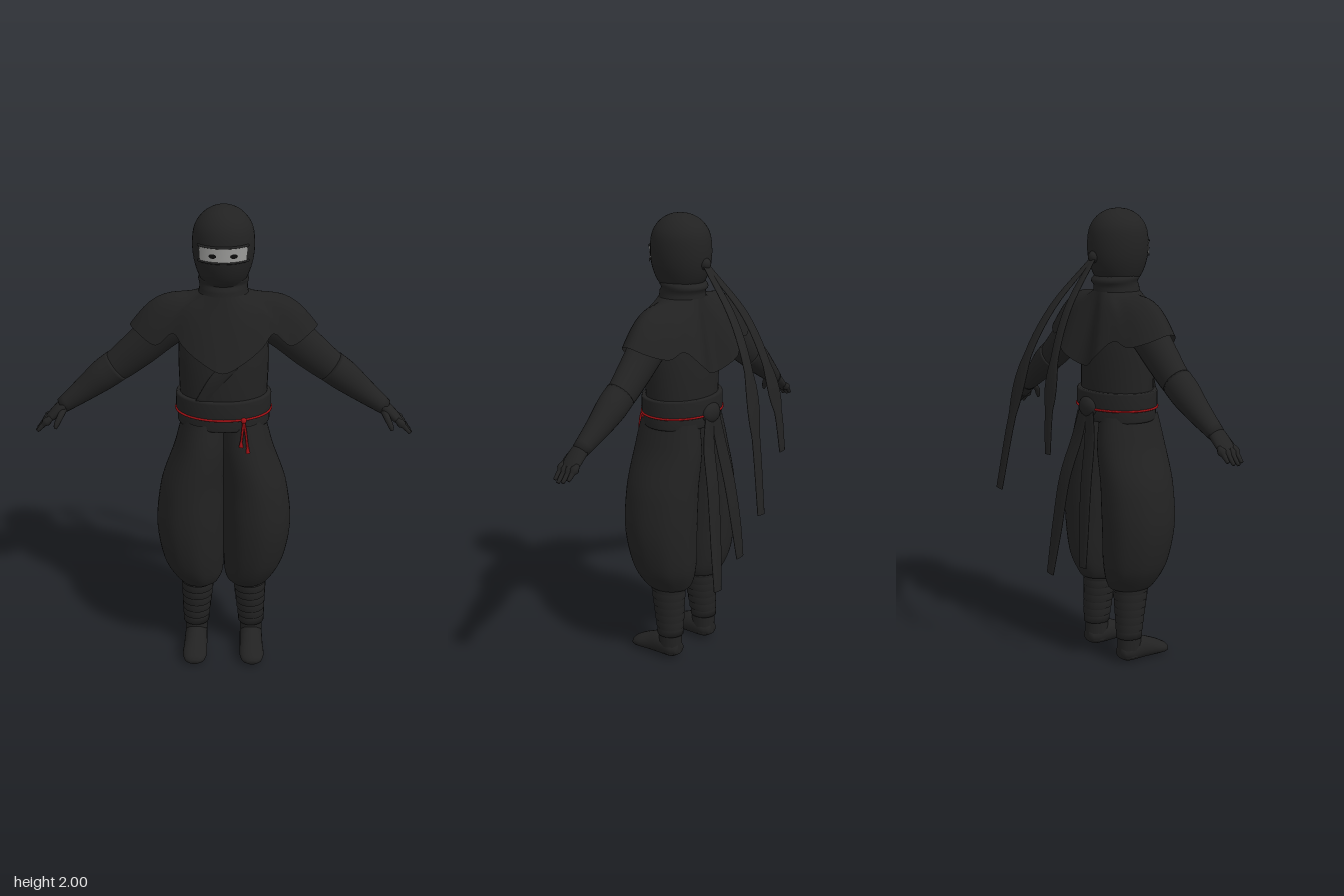
import * as THREE from 'three';

const V = (x, y, z) => new THREE.Vector3(x, y, z);
const material = (name, color, side = THREE.FrontSide) => {
  const m = new THREE.MeshStandardMaterial({ color, side });
  m.name = name;
  return m;
};

// Skin a list of point rows; closed rows wrap round on themselves
function skin(rows, closed = true) {
  const n = rows[0].length, index = [];
  for (let r = 0; r < rows.length - 1; r++) {
    for (let i = 0; i < (closed ? n : n - 1); i++) {
      const a = r * n + i, b = r * n + (i + 1) % n;
      index.push(a, b, b + n, a, b + n, a + n);
    }
  }
  const g = new THREE.BufferGeometry().setFromPoints(rows.flat());
  g.setIndex(index);
  g.computeVertexNormals();
  return g;
}

const ring = (c, u, v, seg, wave = () => 1) => Array.from({ length: seg }, (_, i) => {
  const a = i / seg * Math.PI * 2, k = wave(a);
  return c.clone().addScaledVector(u, Math.sin(a) * k).addScaledVector(v, Math.cos(a) * k);
});

// Upright body from [y, rx, rz, cx, cz] sections, listed bottom to top
const upright = (sections, seg = 32, wave) => skin(sections.map(([y, rx, rz, cx = 0, cz = 0.165]) =>
  ring(V(cx, y, cz), V(rx, 0, 0), V(0, 0, rz), seg, wave && (a => wave(a, y)))));

// Smooth sections between the given ones
function smooth(sections, steps) {
  const a = new THREE.CatmullRomCurve3(sections.map(s => V(s[0], s[1], s[2])));
  const b = new THREE.CatmullRomCurve3(sections.map(s => V(s[3] ?? 0, s[4] ?? 0.165, 0)));
  return Array.from({ length: steps + 1 }, (_, i) => {
    const p = a.getPoint(i / steps), q = b.getPoint(i / steps);
    return [p.x, Math.max(p.y, 0.001), Math.max(p.z, 0.001), q.x, q.y];
  });
}

// Limb along [x, y, z, width, depth] stations; side is the width direction
function limb(stations, side, steps = 16, seg = 14) {
  const path = new THREE.CatmullRomCurve3(stations.map(s => V(s[0], s[1], s[2])));
  const size = new THREE.CatmullRomCurve3(stations.map(s => V(s[3], s[4], 0)));
  const rows = [];
  for (let i = 0; i <= steps; i++) {
    const t = i / steps, p = path.getPoint(t), r = size.getPoint(t), T = path.getTangent(t);
    const u = side.clone().addScaledVector(T, -side.dot(T)).normalize();
    const v = u.clone().cross(T);
    const add = k => rows.push(ring(p, u.clone().multiplyScalar(r.x * k), v.clone().multiplyScalar(r.y * k), seg));
    if (i === 0) add(0.01);
    add(1);
    if (i === steps) add(0.01);
  }
  return skin(rows);
}

export function createModel() {
  const model = new THREE.Group();
  const cloth = material('black cloth', 0x222222);
  const capeCloth = material('cape cloth', 0x212121, THREE.DoubleSide);
  const red = material('red cord', 0x9c1014);
  const face = material('grey face', 0x9a9a98, THREE.DoubleSide);
  const black = material('eye black', 0x0b0b0b, THREE.DoubleSide);
  const add = (name, geometry, mat = cloth) => {
    const m = new THREE.Mesh(geometry, mat);
    m.name = name;
    model.add(m);
    return m;
  };
  const X = V(1, 0, 0), Z = V(0, 0, 1);

  // Hooded head and neck
  add('hood', upright(smooth([[1.69, 0.08, 0.08], [1.73, 0.1, 0.11], [1.79, 0.118, 0.13], [1.86, 0.123, 0.134],
    [1.92, 0.114, 0.124], [1.965, 0.084, 0.094], [1.992, 0.042, 0.048], [2, 0.001, 0.001]], 28), 36));
  add('neckWrap', upright(smooth([[1.58, 0.13, 0.115, 0, 0.16], [1.64, 0.104, 0.102, 0, 0.16], [1.68, 0.096, 0.098, 0, 0.158],
    [1.71, 0.101, 0.1, 0, 0.158], [1.73, 0.085, 0.085, 0, 0.16]], 14)));

  // Face slit with rims and eyes, following the curve of the head
  const onHead = (a, y, off) => V(Math.sin(a) * (0.123 + off), y, 0.165 + Math.cos(a) * (0.134 + off));
  const arc = (y, off, half = 0.82) => Array.from({ length: 17 }, (_, i) => onHead((i / 8 - 1) * half, y, off));
  add('faceSlit', skin([arc(1.806, 0.003), arc(1.86, 0.003)], false), face);
  for (const [name, y] of [['upperRim', 1.863], ['lowerRim', 1.803]]) {
    add(name, new THREE.TubeGeometry(new THREE.CatmullRomCurve3(arc(y, 0.001, 0.9)), 24, 0.005, 6));
  }
  for (const s of [-1, 1]) {
    const eye = add('eye', new THREE.CircleGeometry(0.012, 16), black);
    eye.scale.set(1.3, 0.75, 1);
    eye.rotation.y = s * 0.33;
    eye.position.copy(onHead(s * 0.33, 1.83, 0.005));
  }

  // Torso with a crossed lapel
  add('torso', upright(smooth([[1.15, 0.175, 0.14], [1.3, 0.182, 0.142], [1.42, 0.183, 0.135], [1.5, 0.172, 0.12],
    [1.58, 0.13, 0.1], [1.63, 0.08, 0.08]], 20)));
  add('lapel', limb([[-0.085, 1.22, 0.29, 0.03, 0.008], [-0.03, 1.32, 0.303, 0.03, 0.008],
    [0.04, 1.4, 0.296, 0.03, 0.008], [0.09, 1.46, 0.27, 0.03, 0.008]], X));

  // Shoulder cape with a ragged hem, pointed at front and back
  const hemHalf = [[0.09, 1.415, 0.335], [0.16, 1.465, 0.29], [0.2, 1.505, 0.25], [0.27, 1.45, 0.24], [0.345, 1.49, 0.2],
    [0.38, 1.505, 0.13], [0.34, 1.475, 0.06], [0.26, 1.45, 0.015], [0.19, 1.47, 0.0], [0.12, 1.4, -0.045]];
  const hem = new THREE.CatmullRomCurve3([V(0, 1.375, 0.36), ...hemHalf.map(p => V(...p)), V(0, 1.345, -0.01),
    ...hemHalf.map(([x, y, z]) => V(-x, y, z)).reverse()], true);
  const capeRows = [];
  for (let r = 0; r <= 10; r++) {
    const t = 1 - r / 10;
    capeRows.push(Array.from({ length: 88 }, (_, i) => {
      const a = i / 88 * Math.PI * 2, h = hem.getPoint(i / 88);
      const p = V(Math.sin(a) * 0.098, 1.655, 0.16 + Math.cos(a) * 0.1).lerp(h, t);
      p.y += 0.055 * Math.abs(h.x) / 0.37 * Math.sin(Math.PI * Math.pow(t, 1.3));
      return p;
    }));
  }
  add('shoulderCape', skin(capeRows), capeCloth);

  // Wide sash, red cord and hanging cord knot
  const band = (name, y0, y1, rx, rz) => add(name, upright([[y0, rx - 0.03, rz - 0.03], [y0, rx - 0.004, rz - 0.004],
    [y0 + 0.008, rx, rz], [y1 - 0.008, rx, rz], [y1, rx - 0.004, rz - 0.004], [y1, rx - 0.03, rz - 0.03]], 40));
  band('upperSash', 1.158, 1.235, 0.196, 0.162);
  band('lowerSash', 1.105, 1.162, 0.19, 0.156);
  const cord = new THREE.CatmullRomCurve3(ring(V(0, 1.16, 0.165), V(0.196, 0, 0), V(0, 0, 0.162), 32), true);
  add('redCord', new THREE.TubeGeometry(cord, 64, 0.005, 6, true), red);
  add('cordKnot', new THREE.SphereGeometry(0.012, 12, 8), red).position.set(0.083, 1.158, 0.315);
  for (const [x, y] of [[0.073, 1.06], [0.1, 1.035]]) {
    const end = new THREE.CatmullRomCurve3([V(0.083, 1.158, 0.315), V((x + 0.083) / 2, 1.11, 0.328), V(x, y, 0.33)]);
    add('cordEnd', new THREE.TubeGeometry(end, 10, 0.005, 6), red);
    add('cordTassel', new THREE.CylinderGeometry(0.005, 0.009, 0.025, 8), red).position.set(x, y, 0.33);
  }

  // Knots and trailing ribbons at the back of the sash and the head
  const sashKnot = add('sashKnot', new THREE.SphereGeometry(1, 16, 12));
  sashKnot.scale.set(0.055, 0.045, 0.028);
  sashKnot.position.set(0, 1.165, 0.008);
  const headKnot = add('headKnot', new THREE.SphereGeometry(0.026, 14, 10));
  headKnot.position.set(0, 1.8, 0.04);
  const ribbon = (name, stations) => add(name, limb(stations.map(([x, y, z, w]) => [x, y, z, w, 0.005]), X, 20, 10));
  ribbon('longHeadRibbon', [[0.005, 1.79, 0.03, 0.016], [0.045, 1.6, -0.14, 0.025], [0.08, 1.4, -0.245, 0.028],
    [0.11, 1.15, -0.305, 0.028], [0.14, 0.83, -0.357, 0.024]]);
  ribbon('shortHeadRibbon', [[-0.005, 1.79, 0.03, 0.016], [-0.05, 1.6, -0.13, 0.025], [-0.08, 1.4, -0.22, 0.027],
    [-0.105, 1.2, -0.265, 0.027], [-0.118, 1.02, -0.282, 0.02]]);
  ribbon('leftSashTail', [[0.02, 1.15, 0.0, 0.03], [0.045, 1.03, -0.015, 0.038], [0.075, 0.85, -0.06, 0.04],
    [0.095, 0.62, -0.09, 0.038], [0.115, 0.4, -0.115, 0.026]]);
  ribbon('rightSashTail', [[-0.02, 1.15, 0.0, 0.03], [-0.04, 1.03, -0.012, 0.036], [-0.06, 0.85, -0.045, 0.038],
    [-0.078, 0.65, -0.07, 0.036], [-0.09, 0.48, -0.085, 0.026]]);

  for (const s of [-1, 1]) {
    const at = list => list.map(([x, ...rest]) => [x * s, ...rest]);
    const side = s > 0 ? 'left' : 'right';

    // Baggy trouser leg gathered below the knee
    add(side + 'TrouserLeg', upright(smooth([[0.375, 0.05, 0.06, s * 0.108, 0.165], [0.35, 0.08, 0.095, s * 0.105, 0.165],
      [0.38, 0.103, 0.118, s * 0.11, 0.168], [0.46, 0.128, 0.147, s * 0.128, 0.172], [0.64, 0.145, 0.168, s * 0.14, 0.18],
      [0.82, 0.136, 0.17, s * 0.13, 0.178], [1, 0.112, 0.164, s * 0.092, 0.172], [1.13, 0.09, 0.143, s * 0.08, 0.168]], 36), 48,
      (a, y) => 1 + 0.014 * Math.sin(a * 9) * (1.13 - y)));

    // Wrapped shin
    const wraps = [];
    for (let i = 0; i < 7; i++) {
      const k = i / 7, y = 0.12 + k * 0.25, rx = 0.054 + 0.018 * k, rz = 0.058 + 0.024 * k;
      const cx = s * (0.122 - 0.01 * k), cz = 0.148 + 0.017 * k;
      if (i === 0) wraps.push([y, 0.03, 0.03, cx, cz]);
      wraps.push([y, rx + 0.003, rz + 0.003, cx, cz], [y + 0.03, rx + 0.003, rz + 0.003, cx, cz], [y + 0.034, rx, rz, cx, cz]);
    }
    add(side + 'ShinWrap', upright(wraps, 24));

    // Soft shoe
    add(side + 'Ankle', upright([[0.03, 0.046, 0.055, s * 0.122, 0.15], [0.08, 0.049, 0.056, s * 0.122, 0.15],
      [0.14, 0.05, 0.054, s * 0.122, 0.148]], 24));
    add(side + 'Shoe', limb(at([[0.122, 0.05, 0.096, 0.028, 0.025], [0.122, 0.05, 0.13, 0.048, 0.045],
      [0.122, 0.056, 0.19, 0.05, 0.054], [0.123, 0.046, 0.25, 0.051, 0.044], [0.125, 0.034, 0.305, 0.053, 0.032],
      [0.126, 0.024, 0.34, 0.042, 0.022], [0.126, 0.02, 0.354, 0.02, 0.01]]), X, 20, 20));

    // Sleeve and forearm guard
    add(side + 'Sleeve', limb(at([[0.14, 1.54, 0.15, 0.06, 0.06], [0.23, 1.5, 0.14, 0.073, 0.085],
      [0.34, 1.405, 0.135, 0.065, 0.078], [0.43, 1.33, 0.13, 0.058, 0.068], [0.5, 1.28, 0.13, 0.052, 0.055]]), Z, 16, 20));
    add(side + 'ForearmGuard', limb(at([[0.44, 1.325, 0.13, 0.061, 0.068], [0.49, 1.288, 0.13, 0.062, 0.066],
      [0.57, 1.225, 0.133, 0.051, 0.052], [0.67, 1.15, 0.142, 0.036, 0.033]]), Z, 14, 20));

    // Hand with fingers and thumb
    add(side + 'Palm', limb(at([[0.645, 1.17, 0.14, 0.033, 0.028], [0.68, 1.14, 0.145, 0.041, 0.025],
      [0.715, 1.108, 0.147, 0.043, 0.02], [0.735, 1.09, 0.147, 0.036, 0.014]]), Z, 10, 16));
    for (let f = 0; f < 4; f++) {
      const z = 0.115 + f * 0.022, reach = [0.8, 0.95, 1, 0.9][f];
      add(side + 'Finger', limb(at([[0.715, 1.11, z, 0.011, 0.011], [0.715 + 0.035 * reach, 1.11 - 0.033 * reach, z, 0.011, 0.011],
        [0.715 + 0.066 * reach, 1.11 - 0.066 * reach, z + 0.002, 0.007, 0.007]]), Z, 8, 8));
    }
    add(side + 'Thumb', limb(at([[0.66, 1.145, 0.16, 0.014, 0.014], [0.675, 1.12, 0.195, 0.013, 0.013],
      [0.69, 1.09, 0.212, 0.011, 0.011], [0.695, 1.075, 0.218, 0.006, 0.006]]), Z, 8, 10));
  }
  return model;
}
